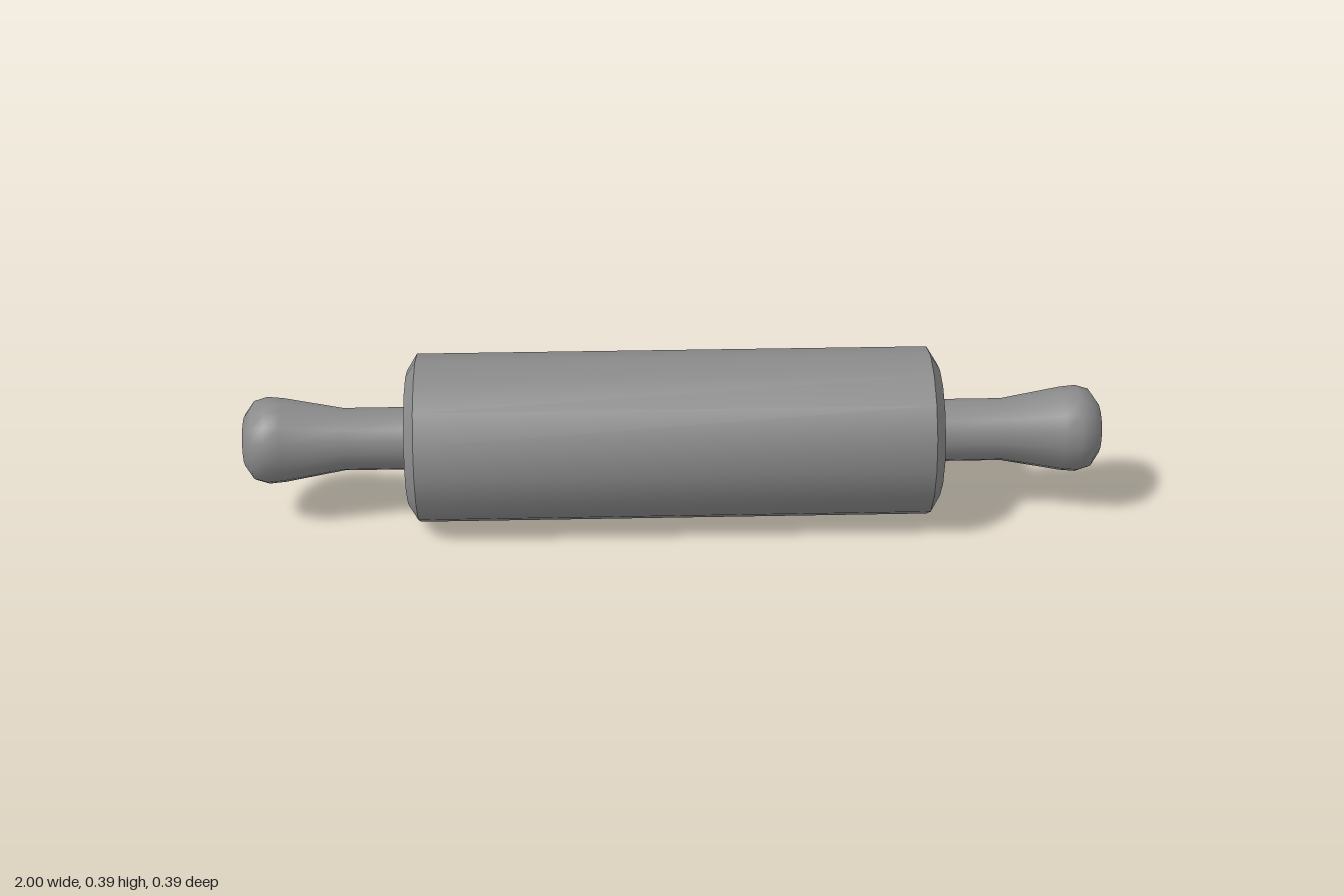
import * as THREE from 'three';
import { toCreasedNormals } from 'three/addons/utils/BufferGeometryUtils.js';

const SIDES = 16;
const AXIS_HEIGHT = 0.198;

// Turns a profile of [radius, distance along axis] pairs around the x axis.
function turned(name, profile, direction, creaseAngle) {
  const points = profile.map(([r, d]) => new THREE.Vector2(r, d));
  let geometry = new THREE.LatheGeometry(points, SIDES);
  if (creaseAngle) geometry = toCreasedNormals(geometry, creaseAngle);
  geometry.rotateZ(-direction * Math.PI / 2);
  const mesh = new THREE.Mesh(geometry, new THREE.MeshStandardMaterial({ color: 0x8a8a8a }));
  mesh.name = name;
  mesh.position.y = AXIS_HEIGHT;
  return mesh;
}

export function createModel() {
  const group = new THREE.Group();
  group.name = 'rollingPin';

  // Roller with chamfered ends
  group.add(turned('roller', [
    [0, -0.617], [0.158, -0.617], [0.197, -0.593],
    [0.197, 0.593], [0.158, 0.617], [0, 0.617],
  ], 1, 0.5));

  // Matching handles: straight neck, flared grip, rounded tip
  const handleProfile = [
    [0.073, 0.6], [0.073, 0.767], [0.098, 0.905], [0.1015, 0.942],
    [0.092, 0.973], [0.06, 0.995], [0, 1],
  ];
  group.add(turned('leftHandle', handleProfile, 1));
  group.add(turned('rightHandle', handleProfile, -1));

  return group;
}
